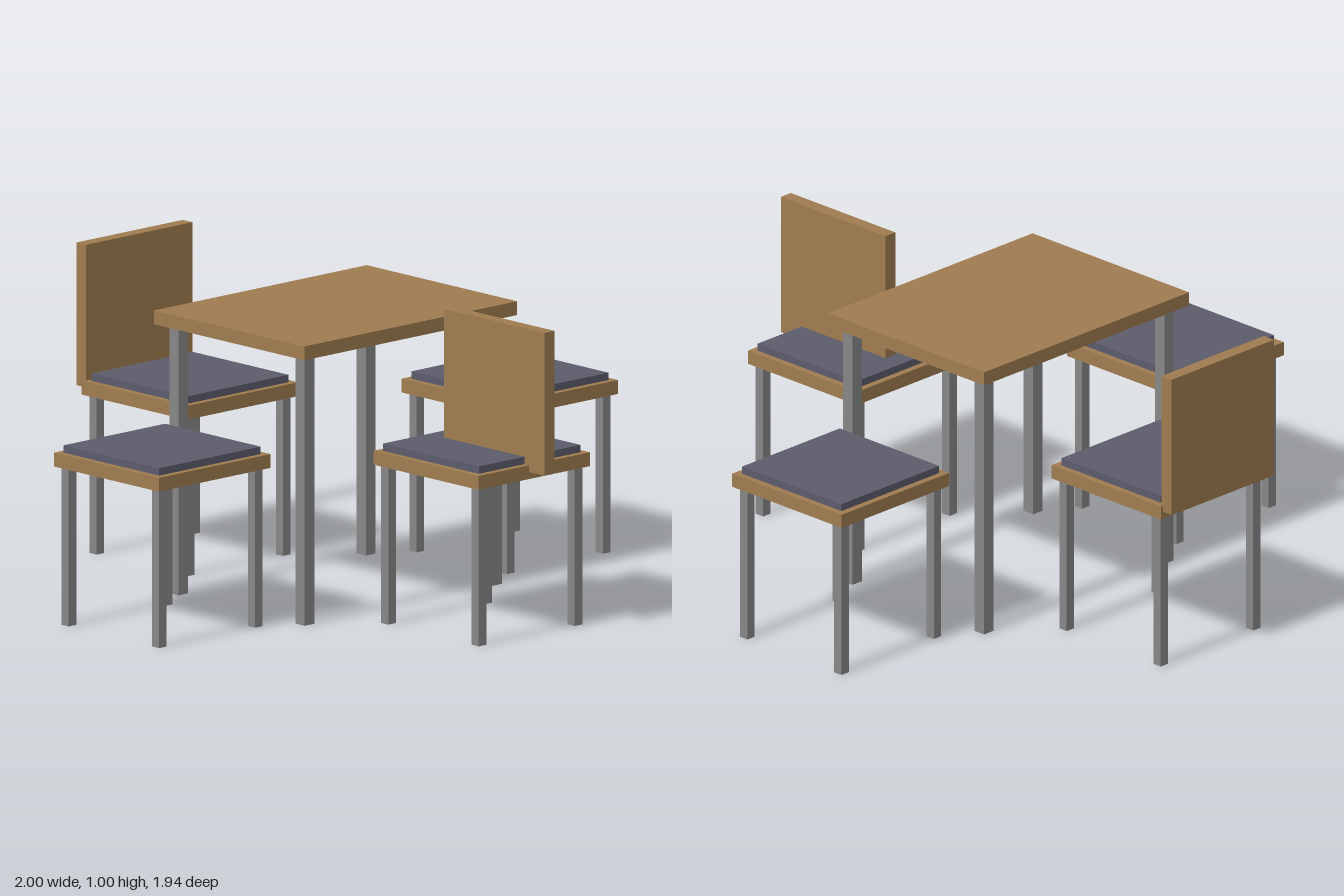
import * as THREE from 'three';

const wood = new THREE.MeshStandardMaterial({ color: 0xa07c50 });
wood.name = 'wood';
const fabric = new THREE.MeshStandardMaterial({ color: 0x5d5c6c });
fabric.name = 'cushion fabric';
const metal = new THREE.MeshStandardMaterial({ color: 0x878787 });
metal.name = 'grey metal';

// Box standing on height y0
function box(name, material, w, h, d, x, y0, z) {
  const mesh = new THREE.Mesh(new THREE.BoxGeometry(w, h, d), material);
  mesh.name = name;
  mesh.position.set(x, y0 + h / 2, z);
  return mesh;
}

// Four square legs mirrored about the centre
function addLegs(group, size, height, dx, dz) {
  for (const sx of [-1, 1]) {
    for (const sz of [-1, 1]) {
      group.add(box('leg', metal, size, height, size, sx * dx, 0, sz * dz));
    }
  }
}

function makeTable() {
  const table = new THREE.Group();
  table.name = 'table';
  table.add(box('tableTop', wood, 0.926, 0.045, 0.695, 0, 0.875, 0));
  addLegs(table, 0.042, 0.875, 0.408, 0.292);
  return table;
}

function makeChair(name, x, z) {
  const chair = new THREE.Group();
  chair.name = name;
  chair.add(box('seat', wood, 0.486, 0.045, 0.486, 0, 0.515, 0));
  chair.add(box('cushion', fabric, 0.442, 0.024, 0.442, 0, 0.56, 0));
  addLegs(chair, 0.033, 0.515, 0.209, 0.209);
  chair.position.set(x, 0, z);
  return chair;
}

export function createModel() {
  const model = new THREE.Group();
  model.name = 'diningSet';
  const cx = -0.002, cz = -0.018;

  const table = makeTable();
  table.position.set(cx, 0, cz);
  model.add(table);

  // Stools at the two sides
  model.add(makeChair('rightStool', -0.757, cz));
  model.add(makeChair('leftStool', 0.757, cz));

  // Chairs with backrests; the front one has its panel turned sideways
  const front = makeChair('frontChair', cx, 0.658);
  front.add(box('backrest', wood, 0.045, 0.464, 0.464, 0, 0.538, 0.081));
  const back = makeChair('backChair', cx, -0.691);
  back.add(box('backrest', wood, 0.464, 0.464, 0.045, 0, 0.538, -0.257));
  model.add(front, back);

  return model;
}
